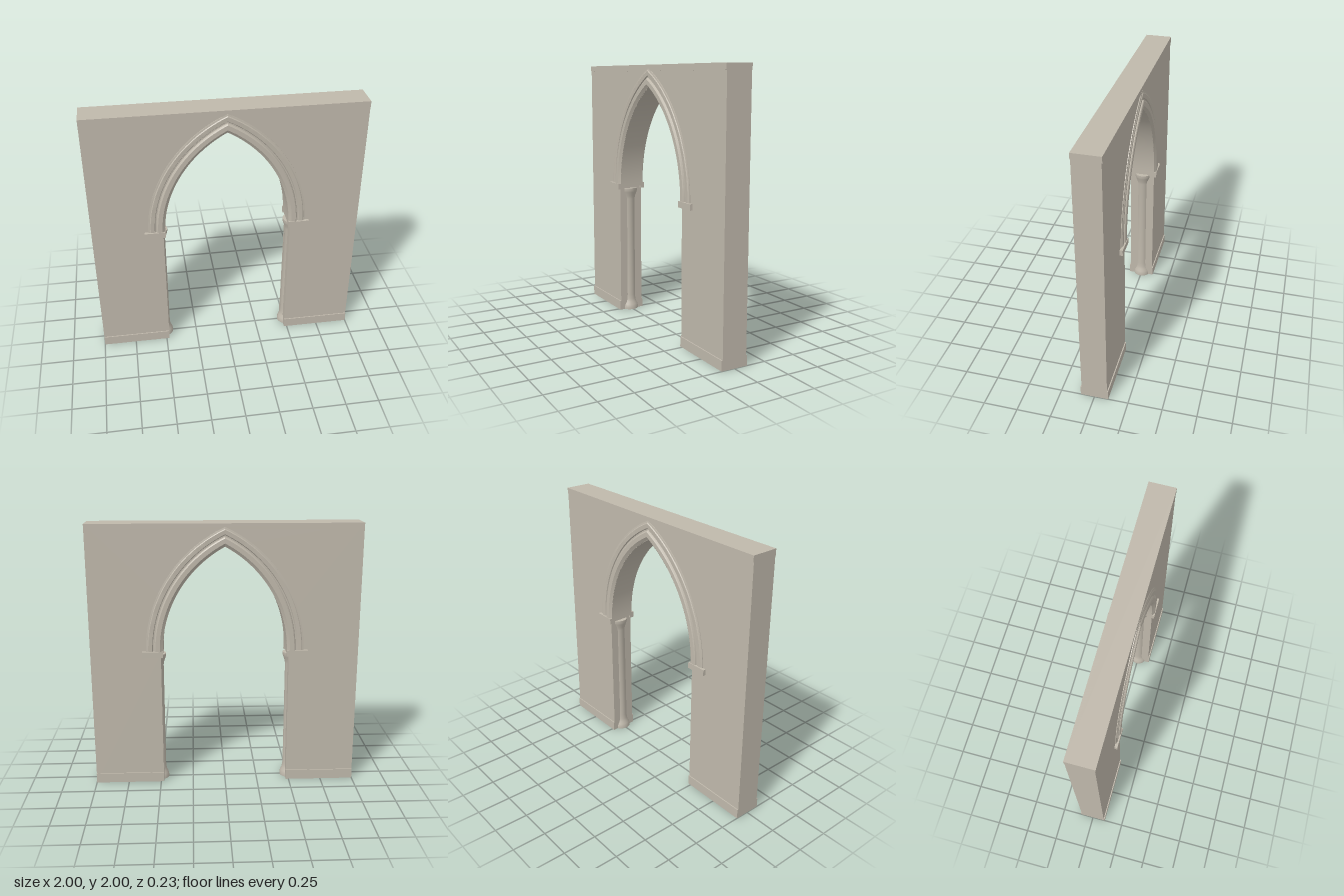
import * as THREE from 'three';
import { toCreasedNormals } from 'three/addons/utils/BufferGeometryUtils.js';

const SPRING = 1.055; // height where the pointed arch begins
const CENTRE = 0.425; // how far each arc's centre lies past the middle
const JAMB = 0.478; // half width of the opening below the arch
const SOFFIT = 0.462; // half width of the opening at the spring line

// Point on an arc that starts at half width w; t runs from spring (0) to apex (1).
function arcPoint(w, t) {
  const r = w + CENTRE;
  const a = t * Math.acos(CENTRE / r);
  return [r * Math.cos(a) - CENTRE, SPRING + r * Math.sin(a)];
}

// One arm of the moulding: a small profile swept along the arc, mitred at the apex.
function mouldingGeometry(sx, sz) {
  const profile = [
    [0.463, 0.09], [0.463, 0.097], [0.478, 0.108], [0.484, 0.113], [0.516, 0.113],
    [0.523, 0.108], [0.527, 0.098], [0.536, 0.098], [0.541, 0.105], [0.57, 0.107],
    [0.576, 0.102], [0.588, 0.1], [0.588, 0.09],
  ];
  const steps = 28, n = profile.length;
  const positions = [], index = [];
  for (let i = 0; i <= steps; i++) {
    for (const [w, z] of profile) {
      const [x, y] = arcPoint(w, i / steps);
      positions.push(sx * x, y, sz * z);
    }
  }
  for (let i = 0; i < steps; i++) {
    for (let j = 0; j < n - 1; j++) {
      const a = i * n + j, b = a + 1, c = a + n, d = c + 1;
      if (sx * sz > 0) index.push(a, b, c, b, d, c);
      else index.push(a, c, b, b, c, d);
    }
  }
  const g = new THREE.BufferGeometry();
  g.setAttribute('position', new THREE.Float32BufferAttribute(positions, 3));
  g.setIndex(index);
  return toCreasedNormals(g, 0.4);
}

// Wall outline with the pointed doorway cut from its lower edge.
function wallGeometry() {
  const s = new THREE.Shape();
  const steps = 32;
  s.moveTo(-1, 0);
  s.lineTo(-JAMB, 0);
  s.lineTo(-JAMB, 1.035);
  s.lineTo(-SOFFIT, 1.035);
  for (let i = 0; i <= steps; i++) {
    const [x, y] = arcPoint(SOFFIT, i / steps);
    s.lineTo(-x, y);
  }
  for (let i = steps - 1; i >= 0; i--) s.lineTo(...arcPoint(SOFFIT, i / steps));
  s.lineTo(SOFFIT, 1.035);
  s.lineTo(JAMB, 1.035);
  s.lineTo(JAMB, 0);
  s.lineTo(1, 0);
  s.lineTo(1, 2);
  s.lineTo(-1, 2);
  const g = new THREE.ExtrudeGeometry(s, { depth: 0.19, bevelEnabled: false });
  g.translate(0, 0, -0.095);
  return toCreasedNormals(g, 0.4);
}

export function createModel() {
  const model = new THREE.Group();
  model.name = 'gothicArchway';
  const stone = new THREE.MeshStandardMaterial({ color: 0xbfb8ab });
  stone.name = 'stone';

  function add(name, geometry, x = 0, y = 0, z = 0) {
    const mesh = new THREE.Mesh(geometry, stone);
    mesh.name = name;
    mesh.position.set(x, y, z);
    model.add(mesh);
  }

  add('wall', wallGeometry());
  add('topBand', new THREE.BoxGeometry(2, 0.045, 0.198), 0, 1.9775, 0);

  // Engaged column: flared base, slim shaft, flared capital
  const column = toCreasedNormals(new THREE.LatheGeometry([
    [0, 0], [0.07, 0], [0.07, 0.015], [0.064, 0.04], [0.054, 0.06], [0.049, 0.085], [0.047, 0.12],
    [0.047, 0.93], [0.052, 0.955], [0.062, 0.985], [0.067, 1.0], [0.067, 1.02], [0, 1.02],
  ].map(([r, y]) => new THREE.Vector2(r, y)), 24), 0.6);

  for (const sx of [-1, 1]) {
    const side = sx > 0 ? 'left' : 'right';
    add(side + 'Plinth', new THREE.BoxGeometry(1 - JAMB, 0.075, 0.206), sx * (1 + JAMB) / 2, 0.0375, 0);
    add(side + 'Column', column, sx * 0.51, 0, 0);
    for (const sz of [-1, 1]) {
      const face = sz > 0 ? 'Front' : 'Back';
      add(side + face + 'Moulding', mouldingGeometry(sx, sz));
      add(side + face + 'Impost', new THREE.BoxGeometry(0.155, 0.045, 0.035), sx * 0.5395, 1.0375, sz * 0.0995);
    }
  }
  return model;
}
